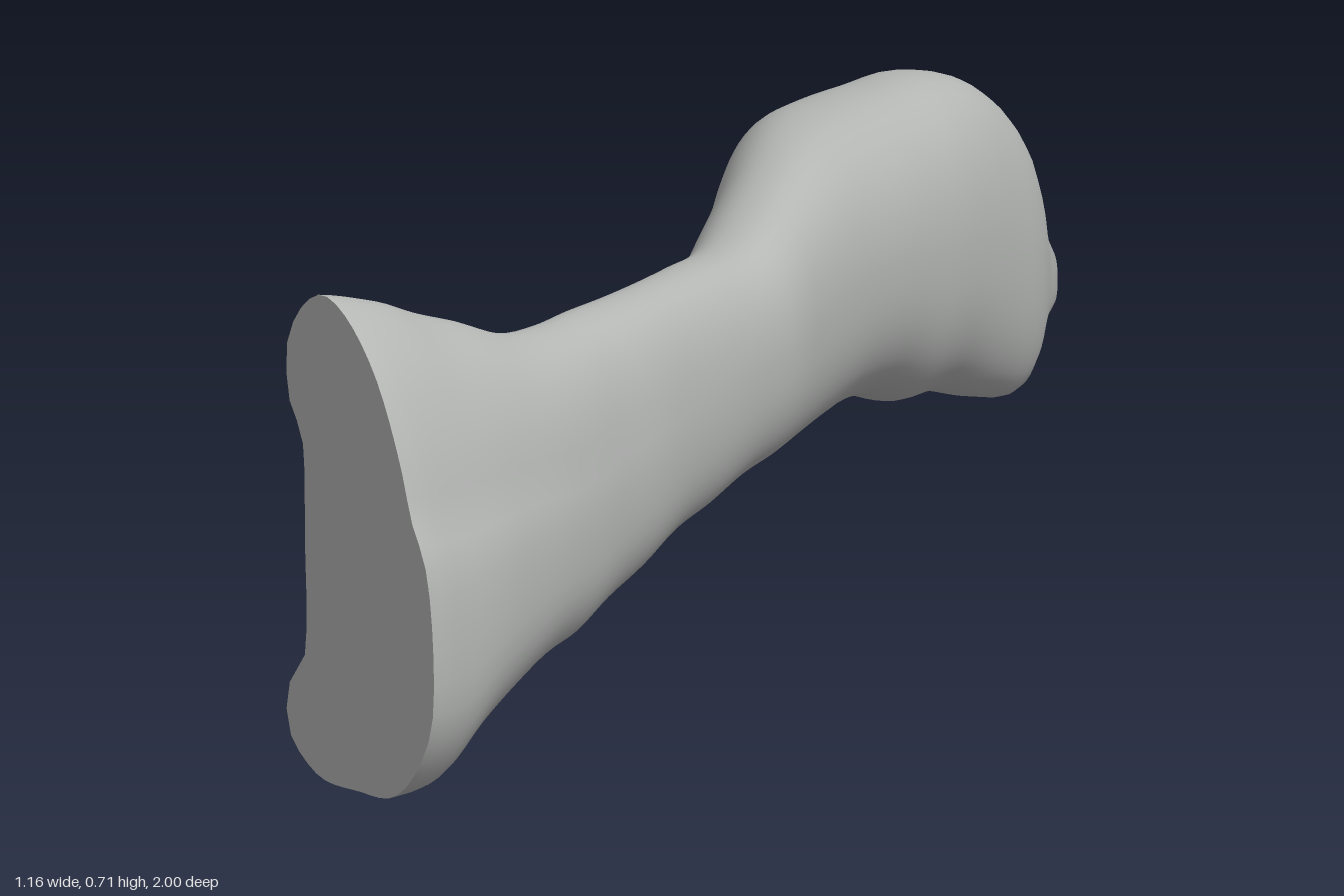
import * as THREE from 'three';

// Extents every 0.1 from the front (z = 1) to the back (z = -1): x min, x max, y min, y max
const EXTENTS = [
  [0.255, 0.58, 0.005, 0.71], [0.25, 0.545, 0.01, 0.69], [0.215, 0.505, 0.06, 0.655],
  [0.19, 0.455, 0.095, 0.625], [0.17, 0.405, 0.125, 0.59], [0.13, 0.35, 0.135, 0.58],
  [0.085, 0.295, 0.16, 0.58], [0.045, 0.25, 0.185, 0.58], [0, 0.2, 0.215, 0.58],
  [-0.055, 0.155, 0.23, 0.58], [-0.115, 0.11, 0.25, 0.58], [-0.2, 0.065, 0.255, 0.605],
  [-0.285, 0, 0.255, 0.635], [-0.385, -0.06, 0.255, 0.66], [-0.48, -0.115, 0.255, 0.67],
  [-0.535, -0.165, 0.245, 0.67], [-0.565, -0.215, 0.215, 0.67], [-0.58, -0.265, 0.21, 0.67],
  [-0.555, -0.315, 0.185, 0.64], [-0.535, -0.37, 0.18, 0.55], [-0.495, -0.465, 0.28, 0.36],
];

// Unit outline of the flared front end, counter-clockwise
const END_OUTLINE = [
  [1, -0.25], [0.9, 0], [0.73, 0.15], [0.55, 0.4], [0.22, 0.72], [-0.2, 0.94], [-0.54, 1],
  [-0.85, 0.9], [-1, 0.75], [-0.97, 0.55], [-0.78, 0.38], [-0.75, 0], [-0.75, -0.5],
  [-0.98, -0.65], [-0.98, -0.8], [-0.6, -0.97], [0, -1], [0.45, -0.99], [0.75, -0.88], [1, -0.65],
];
const SIDES = 56;
const RINGS = 80;

// Softly squared oval used for the shaft, in the direction of a given point
function ovalPoint(p) {
  const a = Math.atan2(p.y, p.x), n = 2.3;
  const c = Math.cos(a), s = Math.sin(a);
  const r = (Math.abs(c) ** n + Math.abs(s) ** n) ** (-1 / n);
  return new THREE.Vector2(c * r, s * r);
}

// Loft whose section changes from the flared outline to the oval
function boneRings() {
  const xs = new THREE.SplineCurve(EXTENTS.map((e) => new THREE.Vector2(e[0], e[1])));
  const ys = new THREE.SplineCurve(EXTENTS.map((e) => new THREE.Vector2(e[2], e[3])));
  const outline = new THREE.CatmullRomCurve3(
    END_OUTLINE.map(([x, y]) => new THREE.Vector3(x, y, 0)), true, 'centripetal');
  const flare = outline.getSpacedPoints(SIDES).slice(0, SIDES);
  const rings = [];
  for (let i = 0; i <= RINGS; i++) {
    const t = i / RINGS, z = 1 - 2 * t;
    const x = xs.getPoint(t), y = ys.getPoint(t);
    const w = Math.max(0, z) ** 1.3;
    rings.push(flare.map((f) => {
      const u = ovalPoint(f).lerp(new THREE.Vector2(f.x, f.y), w);
      return [
        (x.x + x.y) / 2 + u.x * (x.y - x.x) / 2,
        (y.x + y.y) / 2 + u.y * (y.y - y.x) / 2,
        z,
      ];
    }));
  }
  return rings;
}

function makeGeometry(points, index) {
  const g = new THREE.BufferGeometry();
  g.setAttribute('position', new THREE.Float32BufferAttribute(points.flat(), 3));
  g.setIndex(index);
  g.computeVertexNormals();
  return g;
}

function centreOf(ring) {
  return [0, 1, 2].map((k) => ring.reduce((sum, p) => sum + p[k], 0) / ring.length);
}

export function createModel() {
  const model = new THREE.Group();
  model.name = 'bone';
  const boneGrey = new THREE.MeshStandardMaterial({ color: 0xb4b6b4 });
  boneGrey.name = 'bone grey';

  const rings = boneRings();

  // Shaft with its rounded rear tip
  const points = rings.flat();
  const index = [];
  for (let i = 0; i < RINGS; i++) {
    for (let j = 0; j < SIDES; j++) {
      const k = (j + 1) % SIDES;
      const a = i * SIDES + j, b = i * SIDES + k, c = a + SIDES, d = b + SIDES;
      index.push(a, c, b, b, c, d);
    }
  }
  const tip = points.length;
  points.push(centreOf(rings[RINGS]));
  for (let j = 0; j < SIDES; j++) {
    index.push(tip, RINGS * SIDES + (j + 1) % SIDES, RINGS * SIDES + j);
  }
  const shaft = new THREE.Mesh(makeGeometry(points, index), boneGrey);
  shaft.name = 'shaft';
  model.add(shaft);

  // Flat front end
  const capIndex = [];
  for (let j = 0; j < SIDES; j++) capIndex.push(SIDES, j, (j + 1) % SIDES);
  const cap = new THREE.Mesh(makeGeometry([...rings[0], centreOf(rings[0])], capIndex), boneGrey);
  cap.name = 'frontEnd';
  model.add(cap);

  return model;
}
